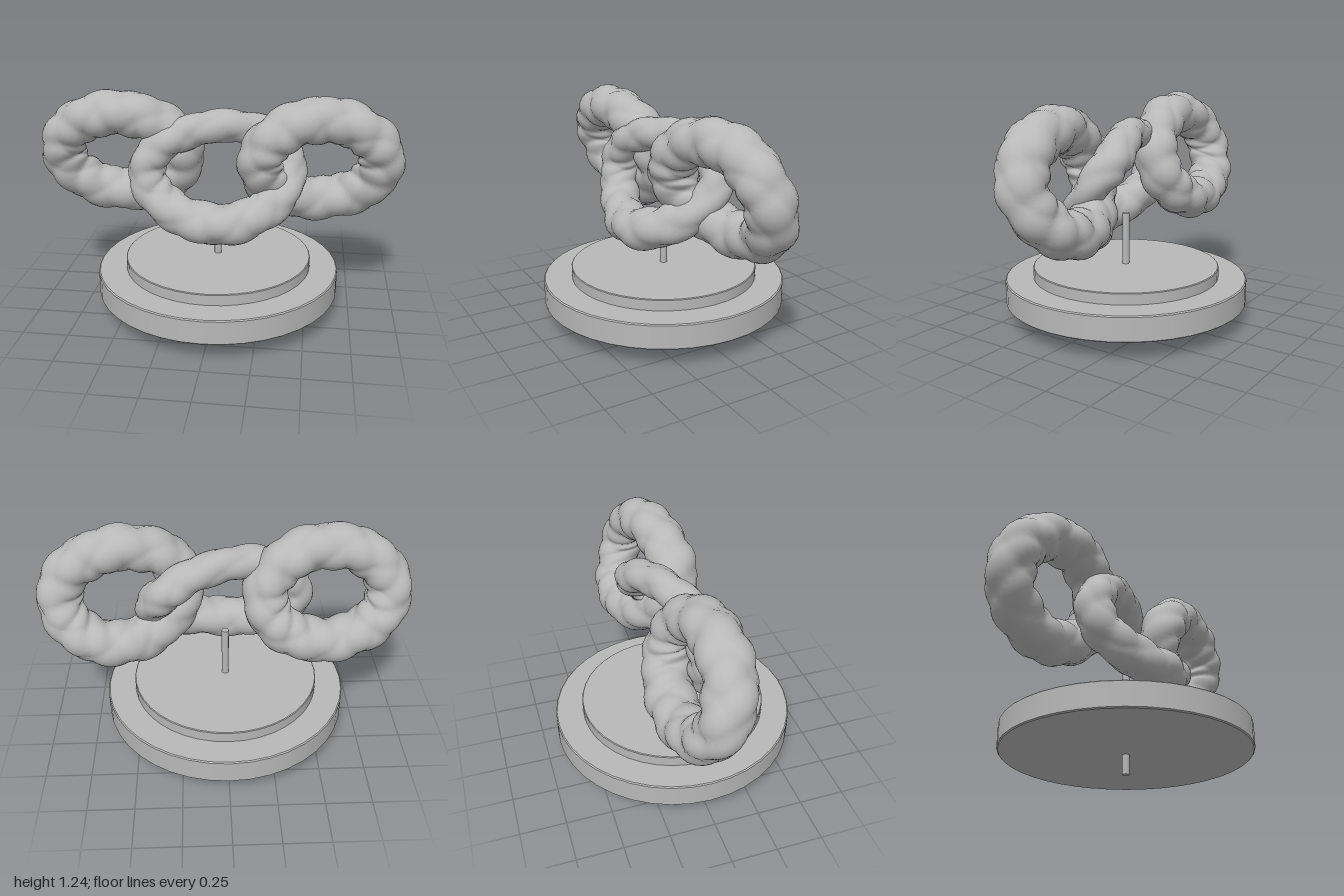
import * as THREE from 'three';
import { mergeVertices } from 'three/addons/utils/BufferGeometryUtils.js';

// Lumpy oval ring: a torus reshaped by a rule.
// at: centre, size: half axes of the tube's centre line, tube(u): radius, depth(u): z offset
function lumpyRing(at, size, tube, depth, phase) {
  const torus = new THREE.TorusGeometry(1, 0.5, 28, 110);
  torus.deleteAttribute('uv');
  torus.deleteAttribute('normal');
  const geometry = mergeVertices(torus);
  const p = geometry.attributes.position;
  for (let i = 0; i < p.count; i++) {
    const x = p.getX(i), y = p.getY(i);
    const u = Math.atan2(y, x);
    const v = Math.atan2(p.getZ(i), Math.hypot(x, y) - 1);
    const normal = new THREE.Vector2(Math.cos(u) / size[0], Math.sin(u) / size[1]).normalize();
    // two crossing families of rounded lobes
    const lobes = 0.85 + 0.14 * Math.abs(Math.sin(6 * u + v + phase)) ** 0.8
      + 0.1 * Math.abs(Math.sin(4 * u - 1.5 * v + 2 * phase)) ** 0.8;
    const r = tube(u) * lobes;
    const out = r * Math.cos(v);
    p.setXYZ(i,
      at[0] + size[0] * Math.cos(u) + normal.x * out,
      at[1] + size[1] * Math.sin(u) + normal.y * out,
      depth(u) + 1.08 * r * Math.sin(v));
  }
  geometry.computeVertexNormals();
  return geometry;
}

// Disc with softly bevelled rims
function disc(radius, bottom, top, bevel) {
  const profile = [
    [0, bottom], [radius - bevel, bottom], [radius - bevel, bottom],
    [radius, bottom + bevel], [radius, bottom + bevel],
    [radius, top - bevel], [radius, top - bevel],
    [radius - bevel, top], [radius - bevel, top], [0, top],
  ].map(([x, y]) => new THREE.Vector2(x, y));
  return new THREE.LatheGeometry(profile, 40);
}

export function createModel() {
  const model = new THREE.Group();
  const grey = new THREE.MeshStandardMaterial({ color: 0xb8b8b8 });
  grey.name = 'grey';

  const add = (name, geometry) => {
    const mesh = new THREE.Mesh(geometry, grey);
    mesh.name = name;
    model.add(mesh);
    return mesh;
  };

  // Stand
  add('lowerBase', disc(0.678, 0.107, 0.245, 0.006));
  add('upperBase', disc(0.522, 0.24, 0.307, 0.004));
  add('rod', new THREE.CylinderGeometry(0.02, 0.02, 0.6, 12)).position.y = 0.3;

  // Outer links, leaning back at the bottom
  add('rightLink', lumpyRing([-0.545, 0.867], [0.336, 0.246], () => 0.119,
    (u) => -0.055 + 0.08 * Math.sin(u) - 0.02 * Math.cos(u), 0.4));
  add('leftLink', lumpyRing([0.557, 0.867], [0.324, 0.246], () => 0.119,
    (u) => -0.04 + 0.082 * Math.sin(u) - 0.06 * Math.cos(u) + 0.055 * Math.cos(u) ** 2, 1.3));

  // Middle link, leaning forward, thinner at the top and twisted across
  add('middleLink', lumpyRing([0, 0.802], [0.382, 0.24], (u) => 0.099 - 0.011 * Math.sin(u),
    (u) => 0.01 + 0.075 * Math.sin(u) ** 2 - 0.115 * Math.sin(u)
      - 0.065 * Math.cos(u) - 0.09 * Math.cos(u) * Math.sin(u), 2.1));

  return model;
}
